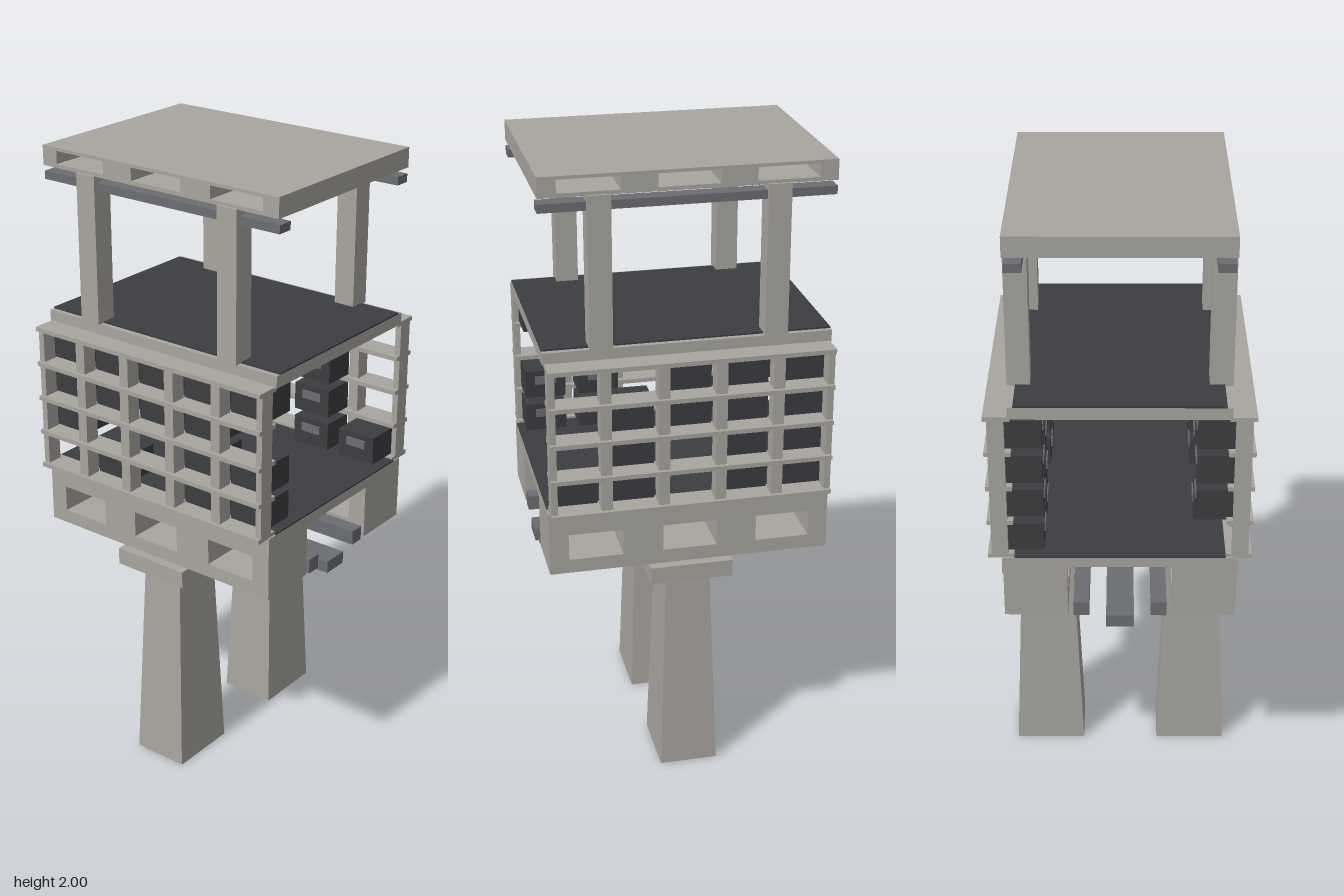
import * as THREE from 'three';

const concrete = new THREE.MeshStandardMaterial({ color: 0xa8a59e });
const dark = new THREE.MeshStandardMaterial({ color: 0x3b3d40 });
const steel = new THREE.MeshStandardMaterial({ color: 0x6c6e73 });

export function createModel() {
  const model = new THREE.Group();

  function add(name, geometry, material, parent = model) {
    const mesh = new THREE.Mesh(geometry, material);
    mesh.name = name;
    parent.add(mesh);
    return mesh;
  }

  // Box given by its minimum and maximum on each axis
  function box(name, [x0, x1], [y0, y1], [z0, z1], material = concrete, parent = model) {
    const mesh = add(name, new THREE.BoxGeometry(x1 - x0, y1 - y0, z1 - z0), material, parent);
    mesh.position.set((x0 + x1) / 2, (y0 + y1) / 2, (z0 + z1) / 2);
    return mesh;
  }

  // Beam pierced front to back by rectangular windows [x0, x1, y0, y1]
  function piercedBeam(name, [x0, x1], [y0, y1], [z0, z1], windows) {
    const rect = (a, b, c, d, Type) => {
      const path = new Type();
      path.moveTo(a, c).lineTo(b, c).lineTo(b, d).lineTo(a, d).closePath();
      return path;
    };
    const shape = rect(x0, x1, y0, y1, THREE.Shape);
    shape.holes = windows.map(([a, b, c, d]) => rect(a, b, c, d, THREE.Path));
    const mesh = add(name, new THREE.ExtrudeGeometry(shape, { depth: z1 - z0, bevelEnabled: false }), concrete);
    mesh.position.z = z0;
    return mesh;
  }

  const wide = [-0.44, 0.44];
  const span = (s, a, b) => (s > 0 ? [a, b] : [-b, -a]);

  for (const s of [1, -1]) {
    // Tapered pier and its cap
    const pier = new THREE.BoxGeometry(0.14, 0.7, 0.17);
    const p = pier.attributes.position;
    for (let i = 0; i < p.count; i++) {
      if (p.getY(i) < 0) {
        p.setX(i, p.getX(i) * 0.093 / 0.07);
        p.setZ(i, p.getZ(i) * 0.114 / 0.085);
      }
    }
    pier.computeVertexNormals();
    add('pier', pier, concrete).position.set(0, 0.35, s * 0.24);
    box('pierCap', [-0.13, 0.13], [0.7, 0.755], span(s, 0.1, 0.385));

    // Main deck beams with three windows
    piercedBeam('deckBeam', wide, [0.755, 0.93], span(s, 0.16, 0.355), [
      [-0.38, -0.21, 0.8, 0.885], [-0.085, 0.085, 0.8, 0.885], [0.21, 0.38, 0.8, 0.885],
    ]);

    // Side rail below the deck and carriage end plate
    box('sideRail', wide, [0.752, 0.8], span(s, 0.095, 0.143), steel);
    box('carriagePlate', [-0.065, 0.065], [0.77, 0.836], span(s, 0.15, 0.165));

    // Upper columns and the rails hung under the roof
    for (const x of [-0.265, 0.265]) {
      box('column', [x - 0.035, x + 0.035], [1.475, 1.94], span(s, 0.265, 0.335));
    }
    box('roofRail', wide, [1.894, 1.92], span(s, 0.272, 0.323), steel);
  }

  // Lower deck, carriage and centre rail
  box('deckSlab', wide, [0.93, 0.962], [-0.355, 0.355]);
  box('deckFloor', wide, [0.962, 0.967], [-0.32, 0.32], dark);
  box('carriage', [-0.085, 0.085], [0.76, 0.87], [-0.15, 0.15]);
  box('centreRail', wide, [0.71, 0.75], [-0.043, 0.043], steel);

  // Upper deck
  box('upperSlab', wide, [1.436, 1.474], [-0.327, 0.327]);
  box('upperFloor', wide, [1.474, 1.479], [-0.31, 0.31], dark);

  // Roof slab with slots running front to back
  piercedBeam('roof', wide, [1.938, 2], [-0.327, 0.327], [
    [-0.385, -0.2, 1.95, 1.99], [-0.092, 0.092, 1.95, 1.99], [0.2, 0.385, 1.95, 1.99],
  ]);

  // Rack on each long side: posts, shelves and storage modules.
  // Empty cells are listed as column + row, columns from -x, rows from the top.
  const pitchX = 0.176, pitchY = 0.1165;
  const racks = [
    { s: 1, empty: ['42', '23', '24', '13', '04'] },
    { s: -1, empty: ['41', '42', '43', '31', '23', '24'] },
  ];
  for (const { s, empty } of racks) {
    const rack = new THREE.Group();
    rack.name = s > 0 ? 'frontRack' : 'backRack';
    model.add(rack);
    for (let i = 0; i < 6; i++) {
      const x = THREE.MathUtils.clamp((i - 2.5) * pitchX, -0.425, 0.425);
      const half = i % 5 ? 0.017 : 0.01;
      box('post', [x - half, x + half], [0.965, 1.44], span(s, 0.338, 0.388), concrete, rack);
    }
    for (let j = 0; j < 5; j++) {
      const y = 0.967 + j * pitchY;
      box('shelf', [-0.435, 0.435], [y - 0.007, y + 0.007], span(s, 0.32, 0.4), concrete, rack);
    }
    for (let col = 0; col < 5; col++) {
      for (let row = 1; row <= 4; row++) {
        if (empty.includes(`${col}${row}`)) continue;
        const x = (col - 2) * pitchX;
        const y = 1.374 - (row - 1) * pitchY;
        box('module', [x - 0.066, x + 0.066], [y - 0.046, y + 0.046], span(s, 0.229, 0.34), dark, rack);
        box('moduleHandle', [x - 0.035, x + 0.035], [y, y + 0.028], span(s, 0.225, 0.23), steel, rack);
      }
    }
  }

  return model;
}
